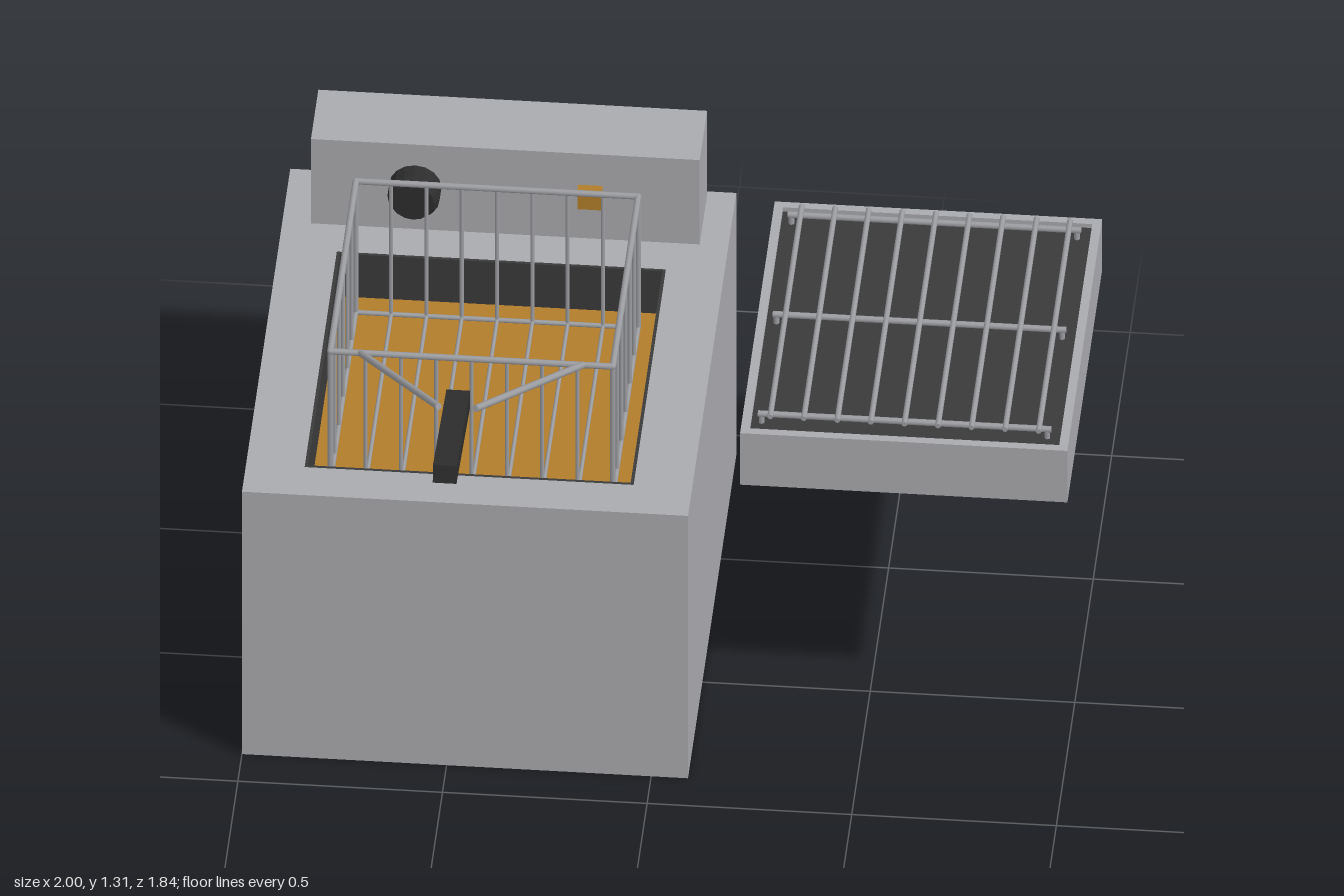
import * as THREE from 'three';

const mat = (name, color) => {
  const m = new THREE.MeshStandardMaterial({ color });
  m.name = name;
  return m;
};

export function createModel() {
  const steel = mat('brushed steel', 0xa9aaae);
  const wire = mat('wire steel', 0x9d9ea2);
  const dark = mat('dark lining', 0x3a3a3b);
  const black = mat('black grip', 0x2d2d2e);
  const amber = mat('amber oil', 0xb27d2a);

  const model = new THREE.Group();
  model.name = 'deepFryer';

  const group = (name) => {
    const g = new THREE.Group();
    g.name = name;
    model.add(g);
    return g;
  };
  const add = (parent, name, geo, material) => {
    const m = new THREE.Mesh(geo, material);
    m.name = name;
    parent.add(m);
    return m;
  };
  // Box given by its minimum and maximum corners
  const box = (parent, name, material, x0, x1, y0, y1, z0, z1) => {
    const m = add(parent, name, new THREE.BoxGeometry(x1 - x0, y1 - y0, z1 - z0), material);
    m.position.set((x0 + x1) / 2, (y0 + y1) / 2, (z0 + z1) / 2);
    return m;
  };
  // Rectangular frame standing on y0, open through the middle
  const frame = (parent, name, material, [x0, x1, z0, z1], [a0, a1, b0, b1], y0, y1) => {
    const corners = (l, r, b, f) => [[l, -f], [r, -f], [r, -b], [l, -b]].map(([x, y]) => new THREE.Vector2(x, y));
    const shape = new THREE.Shape(corners(x0, x1, z0, z1));
    shape.holes.push(new THREE.Path(corners(a0, a1, b0, b1).reverse()));
    const geo = new THREE.ExtrudeGeometry(shape, { depth: y1 - y0, bevelEnabled: false });
    geo.rotateX(-Math.PI / 2).translate(0, y0, 0);
    return add(parent, name, geo, material);
  };
  // Round rod between two points
  const rod = (parent, name, a, b, r, material = wire) => {
    const p = new THREE.Vector3(...a), q = new THREE.Vector3(...b);
    const d = q.clone().sub(p);
    const m = add(parent, name, new THREE.CylinderGeometry(r, r, d.length(), 8), material);
    m.position.copy(p).add(q).multiplyScalar(0.5);
    m.quaternion.setFromUnitVectors(new THREE.Vector3(0, 1, 0), d.normalize());
    return m;
  };

  // Cabinet with its oil vat
  const cabinet = group('cabinet');
  const vat = [-0.857, -0.053, -0.597, 0.277];
  const inner = [-0.849, -0.061, -0.589, 0.269];
  box(cabinet, 'cabinetBase', steel, -1, 0.09, 0, 0.6, -0.92, 0.39);
  frame(cabinet, 'cabinetTop', steel, [-1, 0.09, -0.92, 0.39], vat, 0.6, 0.8);
  frame(cabinet, 'vatLining', dark, vat, inner, 0.6, 0.8);
  box(cabinet, 'oil', amber, inner[0], inner[1], 0.6, 0.67, inner[2], inner[3]);

  // Control panel with knob and lamp
  const panel = group('controlPanel');
  box(panel, 'panelBox', steel, -0.93, 0.02, 0.8, 1.057, -0.905, -0.705);
  const knobProfile = [[0, 0], [0.064, 0], [0.064, 0.045], [0.052, 0.066], [0, 0.066]];
  const knobGeo = new THREE.LatheGeometry(knobProfile.map(([x, y]) => new THREE.Vector2(x, y)), 16).toNonIndexed();
  knobGeo.computeVertexNormals();
  knobGeo.rotateX(Math.PI / 2);
  add(panel, 'knob', knobGeo, black).position.set(-0.675, 0.93, -0.705);
  box(panel, 'indicatorLamp', amber, -0.277, -0.217, 0.903, 0.962, -0.705, -0.684);

  // Wire basket
  const basket = group('basket');
  const [l, r, b, f, top, low] = [-0.802, -0.112, -0.502, 0.188, 1.09, 0.69];
  for (const [y, radius] of [[top, 0.008], [low, 0.006]]) {
    const ring = [[l, y, b], [r, y, b], [r, y, f], [l, y, f]];
    ring.forEach((p, i) => {
      rod(basket, 'basketRing', p, ring[(i + 1) % 4], radius);
      add(basket, 'basketRingCorner', new THREE.SphereGeometry(radius, 8, 6), wire).position.set(...p);
    });
  }
  for (let i = 0; i <= 8; i++) {
    const x = l + (r - l) * i / 8;
    const radius = i % 8 ? 0.005 : 0.007;
    for (const z of [b, f]) rod(basket, 'basketUpright', [x, low, z], [x, top, z], radius);
    rod(basket, 'basketFloorWire', [x, low, b], [x, low, f], 0.005);
  }
  for (let i = 1; i < 6; i++) {
    const z = b + (f - b) * i / 6;
    for (const x of [l, r]) rod(basket, 'basketSideUpright', [x, low, z], [x, top, z], 0.005);
  }

  // Basket handle
  const handle = group('basketHandle');
  const mid = (l + r) / 2;
  for (const s of [-1, 1]) {
    rod(handle, 'handleArm', [mid + s * 0.272, top, f], [mid + s * 0.045, 1.24, 0.585], 0.009);
  }
  const grip = add(handle, 'handleGrip', new THREE.BoxGeometry(0.058, 0.05, 0.367), black);
  grip.position.set(mid, 1.264, 0.735);
  grip.rotation.x = -0.12;

  // Draining tray
  const tray = group('drainTray');
  const outer = [0.2, 1, -0.74, 0.2];
  const well = [0.222, 0.978, -0.718, 0.178];
  box(tray, 'trayBase', steel, 0.2, 1, 0.76, 0.86, -0.74, 0.2);
  frame(tray, 'trayRim', steel, outer, well, 0.86, 0.917);
  box(tray, 'trayWell', dark, well[0], well[1], 0.86, 0.905, well[2], well[3]);

  // Cooling rack on the tray
  const rack = group('coolingRack');
  for (let i = 0; i < 9; i++) {
    const x = 0.27 + i * 0.082;
    rod(rack, 'rackBar', [x, 0.941, -0.697], [x, 0.941, 0.16], 0.007);
  }
  for (const z of [-0.672, -0.268, 0.135]) {
    rod(rack, 'rackCrossBar', [0.238, 0.931, z], [0.955, 0.931, z], 0.008);
    for (const x of [0.247, 0.945]) rod(rack, 'rackFoot', [x, 0.905, z], [x, 0.931, z], 0.007);
  }

  return model;
}
